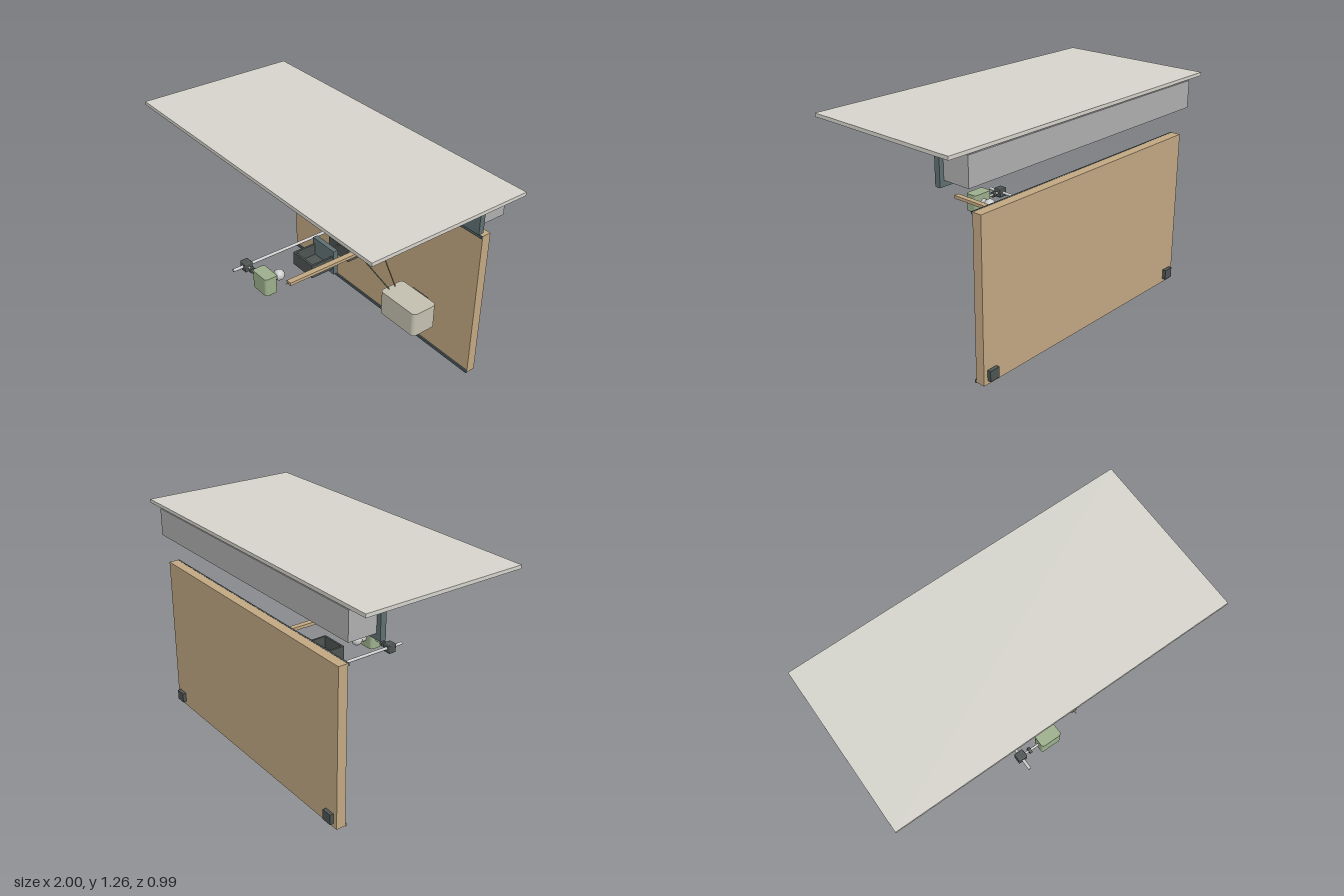
import * as THREE from 'three';
import { RoundedBoxGeometry } from 'three/addons/geometries/RoundedBoxGeometry.js';

export function createModel() {
  const model = new THREE.Group();
  const mats = {};
  const mat = (color) => (mats[color] ??= new THREE.MeshStandardMaterial({ color }));
  const SLATE = 0x5f7072, DARK = 0x4d5552, WOOD = 0xc2a883, BLUE = 0x5f8ab8,
    GREEN = 0x9caf8c, STEEL = 0xc4c6c6, BEIGE = 0xc4c0b0, TRIM = 0x4f5b60;

  const add = (name, geometry, color, parent = model) => {
    const mesh = new THREE.Mesh(geometry, mat(color));
    mesh.name = name;
    parent.add(mesh);
    return mesh;
  };
  // Box given by its limits on each axis
  const box = (name, color, x0, x1, y0, y1, z0, z1, parent) => {
    const mesh = add(name, new THREE.BoxGeometry(x1 - x0, y1 - y0, z1 - z0), color, parent);
    mesh.position.set((x0 + x1) / 2, (y0 + y1) / 2, (z0 + z1) / 2);
    return mesh;
  };
  // Cylinder between two points
  const rod = (name, color, a, b, r, parent) => {
    const p = new THREE.Vector3(...a), q = new THREE.Vector3(...b);
    const mesh = add(name, new THREE.CylinderGeometry(r, r, p.distanceTo(q), 24), color, parent);
    mesh.position.copy(p).add(q).multiplyScalar(0.5);
    mesh.quaternion.setFromUnitVectors(new THREE.Vector3(0, 1, 0), q.sub(p).normalize());
    return mesh;
  };
  const ball = (name, color, x, y, z, r) =>
    add(name, new THREE.SphereGeometry(r, 28, 18), color).position.set(x, y, z);
  // Upright block with rounded vertical corners
  const block = (name, color, x0, x1, y0, y1, z0, z1, r) => {
    const w = (x1 - x0) / 2, d = (z1 - z0) / 2, s = new THREE.Shape();
    s.absarc(w - r, d - r, r, 0, Math.PI / 2);
    s.absarc(r - w, d - r, r, Math.PI / 2, Math.PI);
    s.absarc(r - w, r - d, r, Math.PI, Math.PI * 1.5);
    s.absarc(w - r, r - d, r, Math.PI * 1.5, Math.PI * 2);
    const g = new THREE.ExtrudeGeometry(s, { depth: y1 - y0, bevelEnabled: false, curveSegments: 8 });
    g.rotateX(-Math.PI / 2);
    add(name, g, color).position.set((x0 + x1) / 2, y0, (z0 + z1) / 2);
  };

  // Canopy with the fascia and housing hung under its rear edge
  box('canopy', 0xd6d4cc, -1, 1, 1.238, 1.258, -0.47, 0.495);
  box('fascia', SLATE, -0.908, 0.905, 1.04, 1.228, -0.305, -0.273);
  box('housing', 0xb0afb0, -0.88, 0.88, 1.072, 1.232, -0.468, -0.305);
  for (let i = 0; i < 5; i++) {
    const x = -0.6 + i * 0.31;
    box('accessPanel', 0x8f9090, x - 0.13, x + 0.13, 1.066, 1.073, -0.44, -0.32);
  }
  for (let i = 0; i < 4; i++) {
    const x = -0.42 + i * 0.073;
    box('blueCell', BLUE, x, x + 0.06, 1.058, 1.068, -0.342, -0.309);
    box('blueCell', BLUE, x, x + 0.06, 1.058, 1.068, -0.395, -0.355);
  }

  // Lamp rail below the canopy
  box('lampRail', 0xb0afb0, -0.88, 0.88, 1.217, 1.233, -0.163, -0.126);
  for (let i = -2; i <= 2; i++) {
    rod('lamp', 0x8f9698, [i * 0.25, 1.203, -0.145], [i * 0.25, 1.218, -0.145], 0.015);
    box('lampBase', 0x8f9698, i * 0.25 - 0.04, i * 0.25 + 0.04, 1.209, 1.218, -0.158, -0.131);
  }

  // Back board, edge trims and wall pads
  box('backBoard', WOOD, -0.815, 0.81, 0.003, 0.925, -0.47, -0.415);
  box('bottomTrim', TRIM, -0.815, 0.81, 0, 0.017, -0.416, -0.407);
  box('topTrim', TRIM, -0.815, 0.81, 0.911, 0.926, -0.416, -0.407);
  for (const x of [-0.757, 0.753])
    box('wallPad', DARK, x - 0.031, x + 0.031, 0.025, 0.085, -0.491, -0.469);

  // Blue mounting plate and the long rod
  box('plateSpacer', DARK, -0.31, -0.1, 0.455, 0.588, -0.416, -0.407);
  box('mountingPlate', BLUE, -0.325, -0.085, 0.442, 0.6, -0.408, -0.378);
  rod('rodFlange', STEEL, [-0.195, 0.522, -0.379], [-0.195, 0.522, -0.355], 0.019);
  rod('longRod', STEEL, [-0.195, 0.522, -0.37], [-0.195, 0.522, 0.468], 0.009);
  ball('plateKnob', STEEL, -0.137, 0.613, -0.327, 0.017);

  // Clamp, cross arm and green head on its ball joint
  const clamp = add('clamp', new RoundedBoxGeometry(0.055, 0.055, 0.05, 2, 0.005), DARK);
  clamp.position.set(-0.195, 0.522, 0.38);
  rod('crossArm', STEEL, [-0.22, 0.522, 0.38], [-0.06, 0.522, 0.38], 0.007);
  rod('clampKnob', DARK, [-0.143, 0.522, 0.38], [-0.127, 0.522, 0.38], 0.018);
  block('head', GREEN, -0.075, 0.055, 0.468, 0.576, 0.341, 0.42, 0.016);
  rod('headNeck', STEEL, [-0.01, 0.522, 0.345], [-0.01, 0.522, 0.3], 0.02);
  ball('headBall', STEEL, -0.01, 0.522, 0.287, 0.032);
  for (const x of [-0.038, 0.038])
    rod('headButton', 0x9c6243, [x, 0.46, 0.39], [x, 0.47, 0.39], 0.01);

  // Two open bins, each with its back plate
  for (const [zBack, name] of [[-0.02, 'frontBin'], [-0.277, 'rearBin']]) {
    const bin = new THREE.Group();
    bin.name = name;
    model.add(bin);
    const t = 0.012, x0 = -0.093, x1 = 0.083, y0 = 0.48, y1 = 0.562, z1 = zBack + 0.148;
    box('backPlate', SLATE, -0.1, 0.09, 0.445, 0.6, zBack - 0.028, zBack + 0.002, bin);
    box('binFloor', DARK, x0, x1, y0, y0 + t, zBack, z1, bin);
    box('binFront', DARK, x0, x1, y0, y1, z1 - t, z1, bin);
    box('binSide', DARK, x0, x0 + t, y0, y1, zBack, z1, bin);
    box('binSide', DARK, x1 - t, x1, y0, y1, zBack, z1, bin);
    for (const x of [-0.038, 0.038])
      rod('binPin', STEEL, [x, 0.465, zBack + 0.066], [x, 0.482, zBack + 0.066], 0.005, bin);
  }

  // Wooden arm with a ribbed underside
  box('woodenArm', WOOD, 0.168, 0.202, 0.602, 0.62, -0.33, 0.36);
  for (let i = 0; i < 36; i++)
    box('armRib', WOOD, 0.172, 0.198, 0.598, 0.603, -0.326 + i * 0.019, -0.314 + i * 0.019);
  rod('armPin', STEEL, [0.185, 0.613, 0.355], [0.185, 0.613, 0.377], 0.003);

  // Control box with sockets below and a mount behind
  block('controlBox', BEIGE, 0.275, 0.565, 0.2, 0.352, -0.38, -0.213, 0.025);
  box('boxMount', DARK, 0.36, 0.48, 0.305, 0.345, -0.393, -0.379);
  box('socketStrip', DARK, 0.305, 0.445, 0.191, 0.201, -0.305, -0.235);
  for (let i = 0; i < 4; i++)
    rod('socket', DARK, [0.325 + i * 0.033, 0.185, -0.27], [0.325 + i * 0.033, 0.195, -0.27], 0.012);
  rod('boxButton', 0x9c6243, [0.485, 0.187, -0.33], [0.485, 0.201, -0.33], 0.012);
  rod('boxButton', DARK, [0.515, 0.185, -0.33], [0.515, 0.201, -0.33], 0.012);

  // Cables from the control box to the bins
  const cable = (color, ...points) => {
    for (let i = 1; i < points.length; i++) rod('cable', color, points[i - 1], points[i], 0.0035);
  };
  cable(0x6d7d68, [0.295, 0.35, -0.265], [0.1, 0.613, -0.128], [0.04, 0.595, -0.075], [0.03, 0.565, -0.035]);
  cable(0x8a7448, [0.295, 0.35, -0.31], [0.155, 0.58, -0.295], [0.08, 0.56, -0.285]);

  return model;
}
